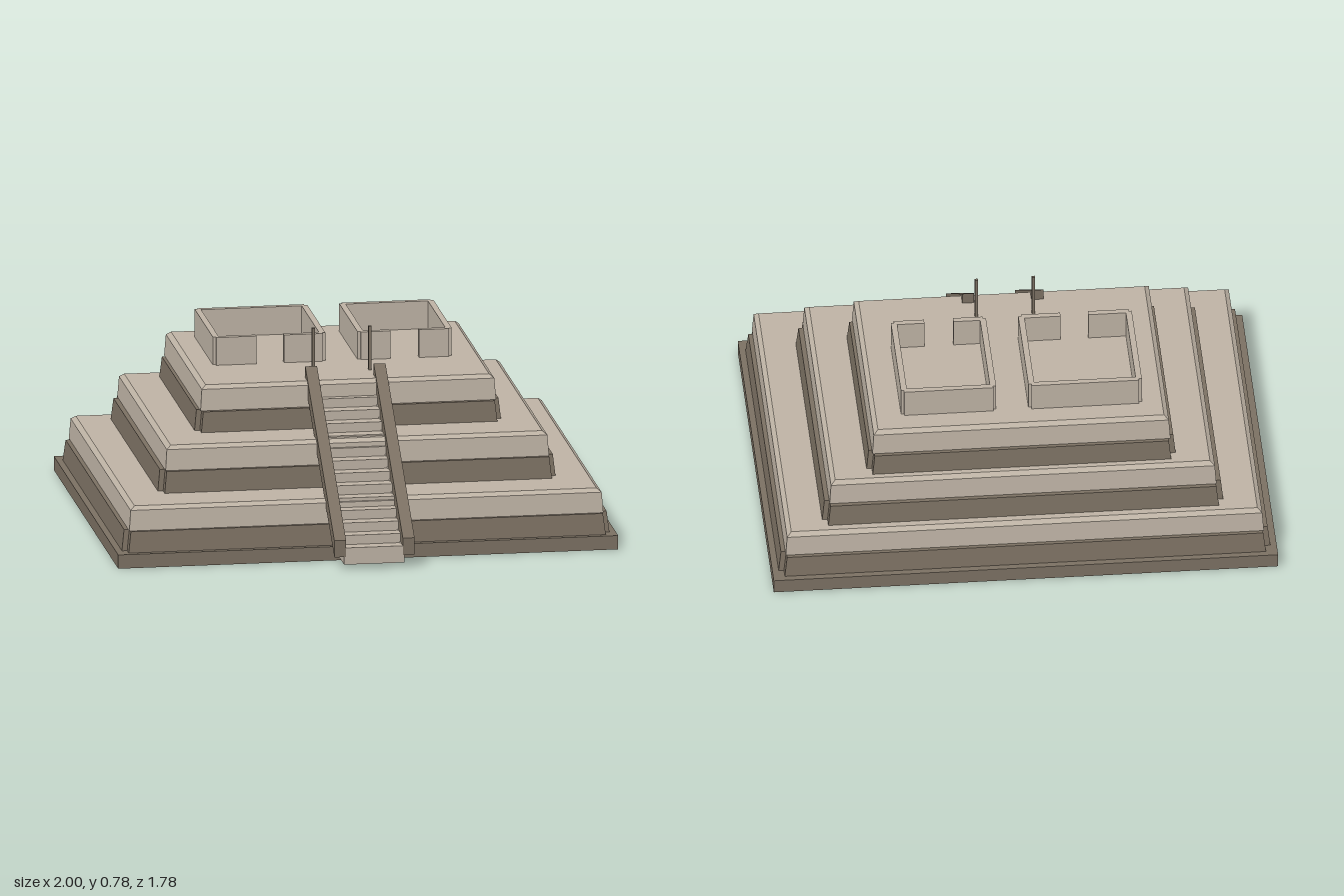
import * as THREE from 'three';

const stone = new THREE.MeshStandardMaterial({ color: 0xbdb2a4 });
stone.name = 'pale stone';
const darkStone = new THREE.MeshStandardMaterial({ color: 0x7b7062 });
darkStone.name = 'dark stone';

function add(parent, name, geometry, material) {
  const mesh = new THREE.Mesh(geometry, material);
  mesh.name = name;
  parent.add(mesh);
  return mesh;
}

function box(parent, name, material, x0, x1, y0, y1, z0, z1) {
  const g = new THREE.BoxGeometry(x1 - x0, y1 - y0, z1 - z0);
  g.translate((x0 + x1) / 2, (y0 + y1) / 2, (z0 + z1) / 2);
  return add(parent, name, g, material);
}

// Rectangular outline; a notch cuts a square step out of every corner
function outline(hx, zBack, zFront, nx, nz) {
  if (!nx) return [[hx, zFront], [hx, zBack], [-hx, zBack], [-hx, zFront]];
  return [
    [hx - nx, zFront], [hx - nx, zFront - nz], [hx, zFront - nz],
    [hx, zBack + nz], [hx - nx, zBack + nz], [hx - nx, zBack],
    [nx - hx, zBack], [nx - hx, zBack + nz], [-hx, zBack + nz],
    [-hx, zFront - nz], [nx - hx, zFront - nz], [nx - hx, zFront],
  ];
}

// Flat-sided stack of outlines; each level is [inset, y]
function terrace(hx, zBack, zFront, levels, nx = 0, nz = 0) {
  const rings = levels.map(([inset, y]) =>
    outline(hx - inset, zBack + inset, zFront - inset, nx, nz).map(([x, z]) => [x, y, z]));
  const out = [];
  const n = rings[0].length;
  const zMid = (zBack + zFront) / 2;
  const bottom = [0, levels[0][1], zMid];
  const top = [0, levels[levels.length - 1][1], zMid];
  for (let i = 0; i < n; i++) {
    const j = (i + 1) % n;
    for (let k = 0; k < rings.length - 1; k++) {
      const a = rings[k][i], b = rings[k][j], c = rings[k + 1][j], d = rings[k + 1][i];
      out.push(...a, ...b, ...c, ...a, ...c, ...d);
    }
    const last = rings[rings.length - 1];
    out.push(...top, ...last[i], ...last[j], ...bottom, ...rings[0][j], ...rings[0][i]);
  }
  const g = new THREE.BufferGeometry();
  g.setAttribute('position', new THREE.Float32BufferAttribute(out, 3));
  g.computeVertexNormals();
  return g;
}

// Roofless room: wall plan with stepped corners and a doorway in the front
function room(parent, name, x0, x1, door0, door1) {
  const zb = -0.577, zf = -0.097, t = 0.024, n = 0.012;
  const plan = [
    [door0, zf], [x0 + n, zf], [x0 + n, zf - n], [x0, zf - n],
    [x0, zb + n], [x0 + n, zb + n], [x0 + n, zb],
    [x1 - n, zb], [x1 - n, zb + n], [x1, zb + n],
    [x1, zf - n], [x1 - n, zf - n], [x1 - n, zf], [door1, zf],
    [door1, zf - t], [x1 - t, zf - t], [x1 - t, zb + t],
    [x0 + t, zb + t], [x0 + t, zf - t], [door0, zf - t],
  ];
  const shape = new THREE.Shape(plan.map(([x, z]) => new THREE.Vector2(x, -z)));
  const g = new THREE.ExtrudeGeometry(shape, { depth: 0.117, bevelEnabled: false });
  g.rotateX(-Math.PI / 2);
  g.translate(0, 0.598, 0);
  add(parent, name, g, stone);
}

export function createModel() {
  const model = new THREE.Group();
  model.name = 'steppedTemple';

  box(model, 'plinth', darkStone, -1, 1, 0, 0.056, -0.89, 0.73);

  // Three tiers: a recessed dark course under a pale slab with a bevelled rim
  const tiers = [
    { y: 0.056, mid: 0.14, top: 0.236, low: [0.975, -0.864, 0.707], slab: [0.948, -0.838, 0.684] },
    { y: 0.23, mid: 0.322, top: 0.42, low: [0.796, -0.786, 0.482], slab: [0.767, -0.758, 0.457] },
    { y: 0.41, mid: 0.502, top: 0.602, low: [0.614, -0.712, 0.258], slab: [0.591, -0.686, 0.23] },
  ];
  tiers.forEach(({ y, mid, top, low, slab }, i) => {
    const tier = new THREE.Group();
    tier.name = 'tier' + (i + 1);
    add(tier, 'lowerCourse', terrace(...low, [[0, y], [0.01, mid]], 0.021, 0.041), darkStone);
    add(tier, 'upperSlab', terrace(...slab,
      [[0, mid], [0.006, top - 0.014], [0.014, top - 0.008], [0.024, top]]), stone);
    model.add(tier);
  });

  // Staircase of solid steps
  const stairs = new THREE.Group();
  stairs.name = 'staircase';
  const count = 14;
  for (let i = 0; i < count; i++) {
    const z = 0.885 - i * 0.0525;
    const top = 0.088 + i * 0.0375;
    box(stairs, 'step' + (i + 1), stone, -0.115, 0.115, 0.02, top, i < count - 1 ? z - 0.0525 : 0.15, z);
  }

  // Sloping balustrades resting on pale side walls
  const slope = (points, width, x) => {
    const shape = new THREE.Shape(points.map(([z, y]) => new THREE.Vector2(z, y)));
    const g = new THREE.ExtrudeGeometry(shape, { depth: width, bevelEnabled: false });
    g.rotateY(-Math.PI / 2);
    g.translate(x + width / 2, 0, 0);
    return g;
  };
  for (const side of [-1, 1]) {
    const label = side > 0 ? 'left' : 'right';
    add(stairs, label + 'Balustrade', slope(
      [[0.888, 0.052], [0.888, 0.12], [0.155, 0.648], [0.155, 0.58]], 0.047, side * 0.137), darkStone);
    add(stairs, label + 'SideWall', slope(
      [[0.885, 0.02], [0.885, 0.054], [0.17, 0.569], [0.17, 0.02]], 0.012, side * 0.115), stone);
    // Slim post at the head of the stairs
    box(model, label + 'Post', darkStone, side * 0.113 - 0.006, side * 0.113 + 0.006, 0.598, 0.78, 0.058, 0.07);
  }
  model.add(stairs);

  // Two rooms on the summit
  room(model, 'rightRoom', -0.488, -0.038, -0.315, -0.205);
  room(model, 'leftRoom', 0.09, 0.467, 0.22, 0.335);

  return model;
}
